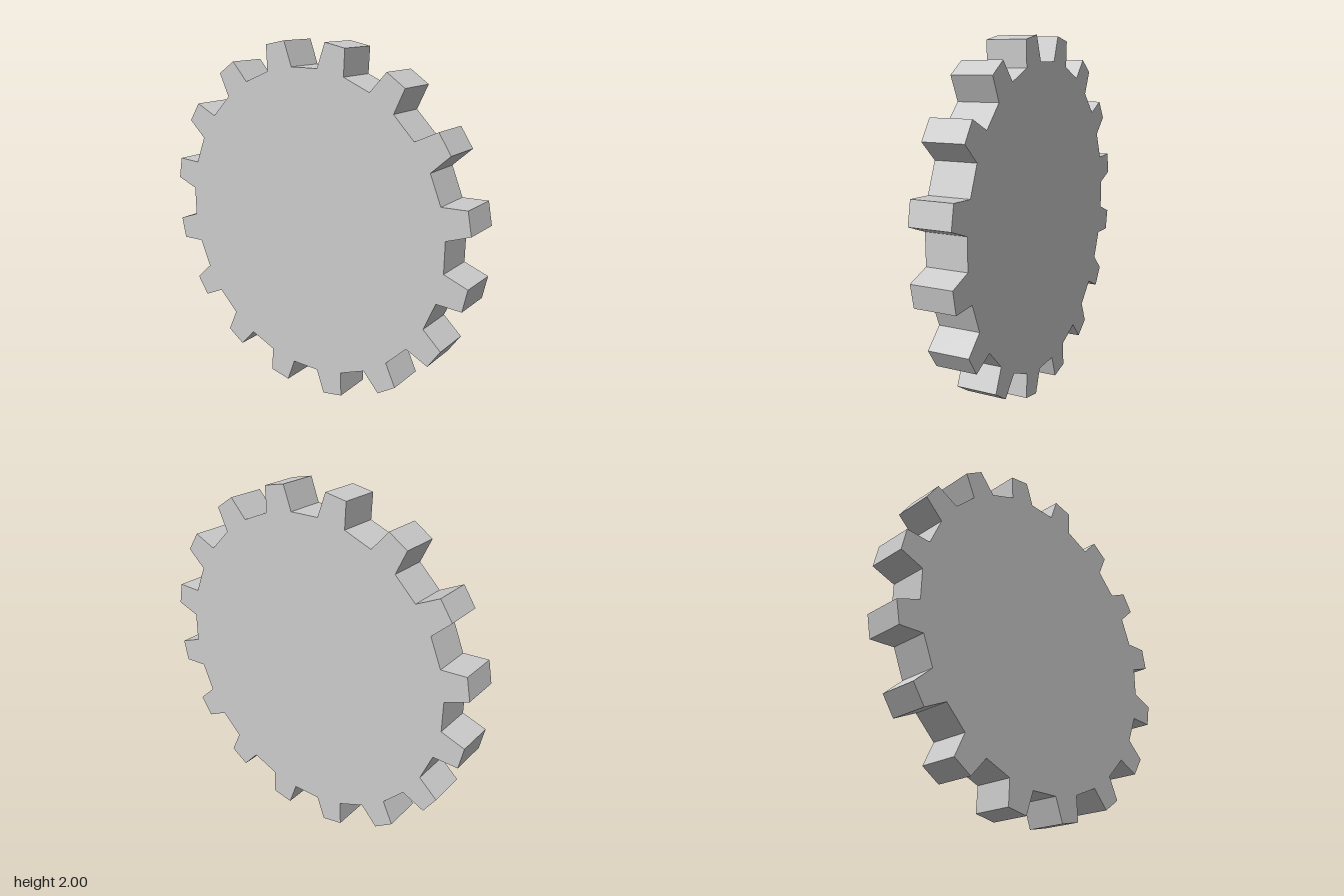
import * as THREE from 'three';

export function createModel() {
  const teeth = 16, rootRadius = 0.87, tipRadius = 1.009, thickness = 0.23;
  const pitch = (Math.PI * 2) / teeth;
  const rootHalf = pitch / 4, tipHalf = THREE.MathUtils.degToRad(3.62);

  // Gear outline: each tooth tapers from a wide root to a narrower flat tip
  const outline = [];
  for (let i = 0; i < teeth; i++) {
    const mid = (i + 0.5) * pitch;
    for (const [radius, offset] of [
      [rootRadius, -rootHalf], [tipRadius, -tipHalf],
      [tipRadius, tipHalf], [rootRadius, rootHalf],
    ]) {
      const a = mid + offset;
      outline.push(new THREE.Vector2(Math.cos(a) * radius, Math.sin(a) * radius));
    }
  }

  // Solid disc with teeth, its axis turned along x
  const geometry = new THREE.ExtrudeGeometry(new THREE.Shape(outline), {
    depth: thickness, bevelEnabled: false,
  });
  geometry.translate(0, 0, -thickness / 2);
  geometry.rotateY(Math.PI / 2);

  const gear = new THREE.Mesh(
    geometry,
    new THREE.MeshStandardMaterial({ color: 0xcccccc, flatShading: true }),
  );
  gear.name = 'gearWheel';
  gear.position.y = 1;

  const group = new THREE.Group();
  group.name = 'gear';
  group.add(gear);
  return group;
}
